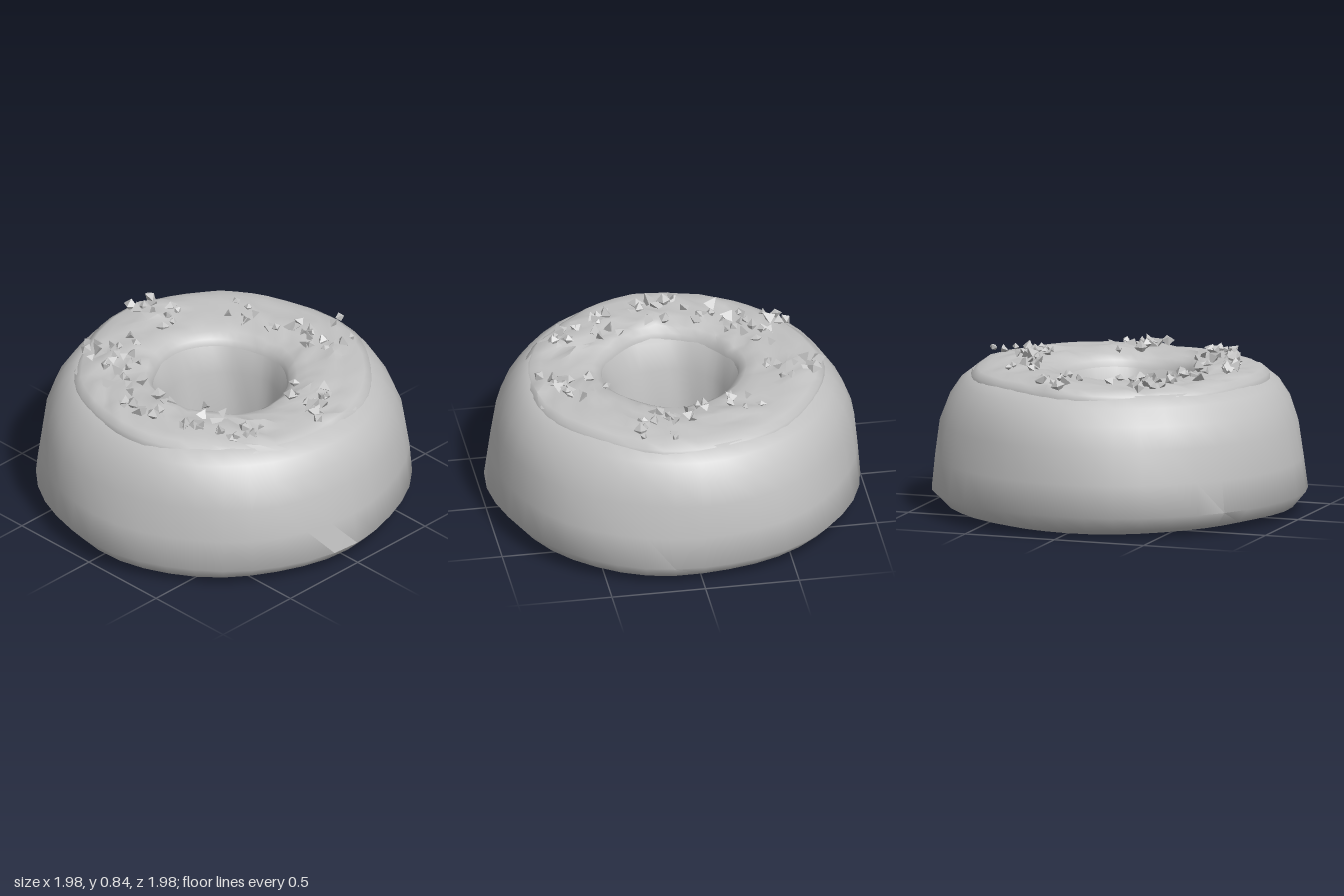
import * as THREE from 'three';
import { mergeGeometries, mergeVertices, toCreasedNormals } from 'three/addons/utils/BufferGeometryUtils.js';

// Small seeded generator
function seeded(seed) {
  return () => {
    seed = (seed * 1664525 + 1013904223) % 4294967296;
    return seed / 4294967296;
  };
}

// Lathe a profile, weld the seam, then move every vertex by a rule
function sculptedLathe(profile, segments, rule, crease) {
  let g = new THREE.LatheGeometry(profile.map(([r, y]) => new THREE.Vector2(r, y)), segments);
  g.deleteAttribute('normal');
  g.deleteAttribute('uv');
  g = mergeVertices(g, 1e-4);
  const p = g.attributes.position;
  const v = new THREE.Vector3();
  for (let i = 0; i < p.count; i++) {
    v.fromBufferAttribute(p, i);
    rule(v, Math.hypot(v.x, v.z), Math.atan2(v.x, v.z));
    p.setXYZ(i, v.x, v.y, v.z);
  }
  return toCreasedNormals(g, crease);
}

// Patches of crumbs on the topping: x, z, spread, count
const patches = [
  [0.18, -0.6, 0.17, 16], [-0.08, -0.5, 0.12, 6], [-0.3, -0.45, 0.1, 6],
  [0.5, -0.12, 0.13, 10], [0.68, -0.08, 0.1, 7], [-0.62, -0.1, 0.15, 12],
  [-0.5, 0.3, 0.17, 18], [-0.28, 0.5, 0.14, 8], [0.0, 0.56, 0.14, 10],
  [0.27, 0.45, 0.13, 9], [0.48, 0.36, 0.15, 11],
];

export function createModel() {
  const model = new THREE.Group();
  model.name = 'ringCake';
  const grey = new THREE.MeshStandardMaterial({ color: 0xc2c2c2 });
  grey.name = 'plain grey';
  const add = (name, geometry) => {
    const mesh = new THREE.Mesh(geometry, grey);
    mesh.name = name;
    model.add(mesh);
  };

  // Cake ring: flat base, sloping side, rounded shoulder and tapered hole
  const bodyProfile = [
    [0.285, 0.03], [0.55, 0.015], [0.8, 0.015], [0.92, 0.05], [0.99, 0.13], [0.97, 0.3],
    [0.945, 0.48], [0.9, 0.6], [0.84, 0.69], [0.77, 0.745], [0.58, 0.75], [0.4, 0.745],
    [0.36, 0.69], [0.325, 0.55], [0.295, 0.35], [0.28, 0.18], [0.285, 0.03],
  ];
  add('cakeBody', sculptedLathe(bodyProfile, 40, (v, r, a) => {
    const lumps = Math.sin(5 * a + 7 * v.y) + 0.7 * Math.sin(9 * a - 5 * v.y + 1);
    const k = 1 + (r < 0.45 ? 0.016 : 0.005) * lumps;
    v.x *= k;
    v.z *= k;
    if (v.y < 0.1) v.y += 0.006 * Math.sin(3 * a + 4 * r);
    if (r < 0.45) {
      v.x += 0.015;
      v.z += 0.05 * (v.y - 0.2);
    }
  }, 0.9));

  // Topping: an uneven sheet with a thin lip on both edges
  const toppingProfile = [
    [0.79, 0.715], [0.785, 0.745], [0.75, 0.768], [0.7, 0.775], [0.65, 0.778], [0.6, 0.78],
    [0.55, 0.78], [0.5, 0.778], [0.45, 0.772], [0.4, 0.76], [0.365, 0.735], [0.355, 0.7],
  ];
  const rough = seeded(11);
  const topping = sculptedLathe(toppingProfile, 54, (v, r, a) => {
    const inPatch = patches.some(([x, z, s]) => Math.hypot(v.x - x, v.z - z) < s * 1.2);
    const k = 1 + 0.008 * Math.sin(7 * a) + 0.006 * Math.sin(4 * a + 2);
    if (r > 0.38 && r < 0.77) {
      const wobble = inPatch ? 0.012 : 0.003;
      v.x += (rough() - 0.5) * wobble * 2;
      v.z += (rough() - 0.5) * wobble * 2;
      v.y += (rough() - 0.45) * wobble * 2.6;
    }
    v.x *= k;
    v.z *= k;
    if (r < 0.5) {
      v.x += 0.012;
      v.z += 0.035 * (0.5 - r) / 0.14;
    }
    v.y += 0.008 * Math.sin(3 * a + 1) - 0.015 * Math.max(0, v.x);
  }, 1.0);
  add('topping', topping);

  // Crumbs: jagged little chips scattered through the patches
  const rnd = seeded(5);
  const chips = [];
  for (const [px, pz, spread, count] of patches) {
    for (let i = 0; i < count; i++) {
      const a = rnd() * Math.PI * 2;
      const d = Math.sqrt(rnd()) * spread;
      const x = px + Math.cos(a) * d;
      const z = pz + Math.sin(a) * d;
      const r = Math.hypot(x, z);
      if (r < 0.4 || r > 0.77) continue;
      const size = 0.018 + rnd() * 0.02;
      const chip = rnd() < 0.5 ? new THREE.TetrahedronGeometry(size * 1.2) : new THREE.OctahedronGeometry(size);
      chip.scale(0.7 + rnd() * 0.7, 0.8 + rnd() * 0.4, 0.7 + rnd() * 0.6);
      chip.rotateX(rnd() * 3);
      chip.rotateY(rnd() * 6);
      chip.translate(x, 0.782 + rnd() * 0.025 - 0.015 * Math.max(0, x), z);
      chips.push(chip);
    }
  }
  add('crumbs', mergeGeometries(chips));

  return model;
}
